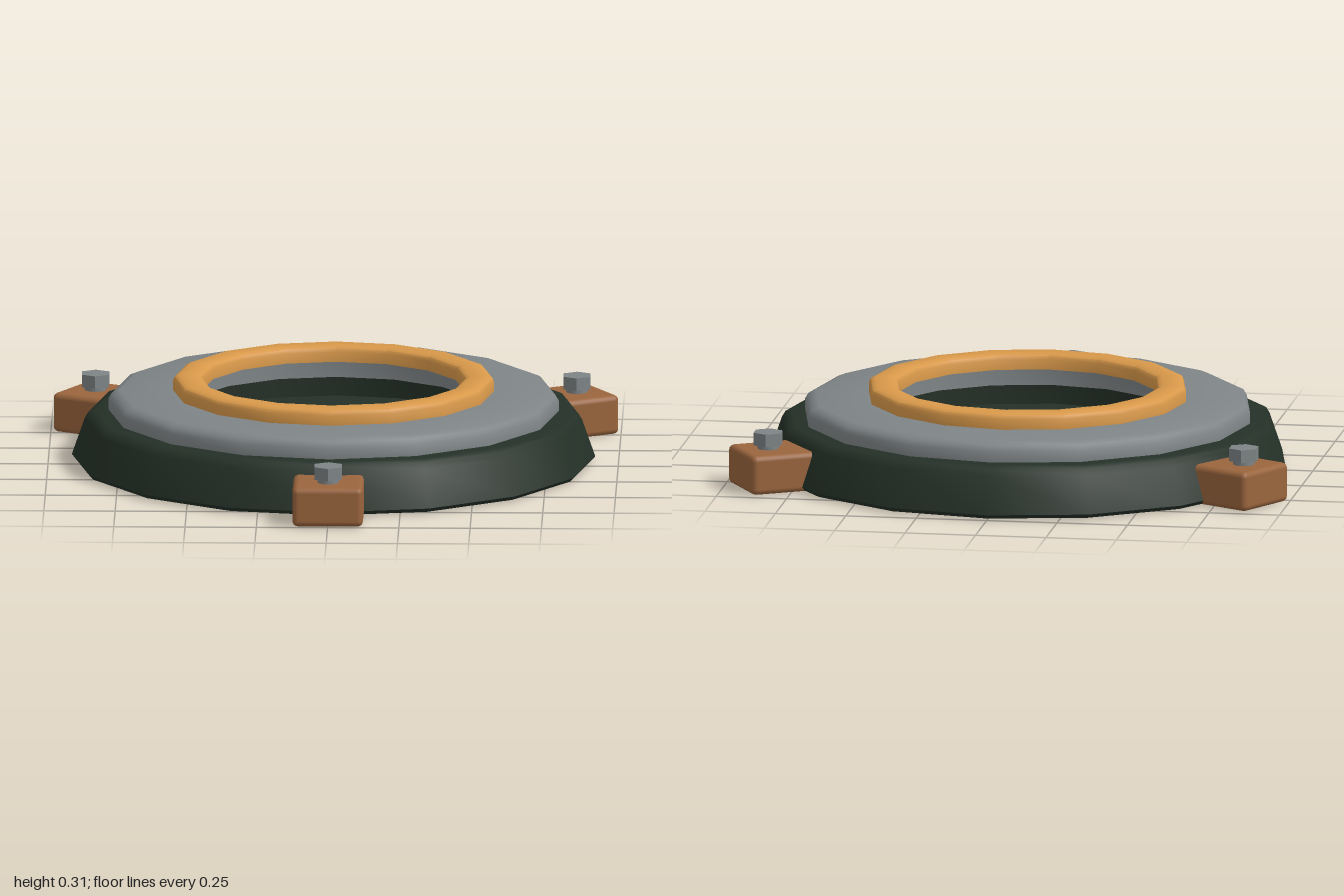
import * as THREE from 'three';
import { toCreasedNormals } from 'three/addons/utils/BufferGeometryUtils.js';
import { RoundedBoxGeometry } from 'three/addons/geometries/RoundedBoxGeometry.js';

const SIDES = 16;
const CENTRE_Z = -0.08;

export function createModel() {
  const flat = (name, color) => {
    const m = new THREE.MeshStandardMaterial({ color });
    m.name = name;
    return m;
  };
  const darkGreen = flat('dark green', 0x243027);
  const grey = flat('steel grey', 0x7f8587);
  const gold = flat('gold', 0xd9994a);
  const brown = flat('copper brown', 0x9a653d);

  const model = new THREE.Group();
  model.name = 'hatch';
  const body = new THREE.Group();
  body.name = 'body';
  body.position.z = CENTRE_Z;
  model.add(body);

  const add = (parent, name, geometry, material, x = 0, y = 0, z = 0) => {
    const mesh = new THREE.Mesh(geometry, material);
    mesh.name = name;
    mesh.position.set(x, y, z);
    parent.add(mesh);
    return mesh;
  };

  // Sixteen-sided ring from a closed profile of [radius, height] points
  const ring = (name, profile, material) => {
    const points = [...profile, profile[0]].map(([r, y]) => new THREE.Vector2(r, y));
    const geometry = toCreasedNormals(new THREE.LatheGeometry(points, SIDES), 0.75);
    add(body, name, geometry, material);
  };

  // Sloped base ring
  ring('baseRing', [
    [0.59, 0.004], [0.905, 0.004], [0.918, 0.018], [0.872, 0.15],
    [0.86, 0.17], [0.835, 0.18], [0.59, 0.18],
  ], darkGreen);

  // Floor plate closing the base
  add(body, 'floorPlate', new THREE.CylinderGeometry(0.592, 0.592, 0.09, SIDES), darkGreen, 0, 0.055, 0);

  // Flange on top of the base
  ring('flange', [
    [0.53, 0.18], [0.79, 0.18], [0.79, 0.218], [0.778, 0.238], [0.75, 0.25], [0.53, 0.25],
  ], grey);

  // Raised rim around the opening
  ring('rim', [
    [0.46, 0.25], [0.563, 0.25], [0.563, 0.285], [0.557, 0.298], [0.54, 0.305],
    [0.483, 0.305], [0.466, 0.298], [0.46, 0.285],
  ], gold);

  // Three mounting lugs, each with a hexagonal bolt
  for (let i = 0; i < 3; i++) {
    const lug = new THREE.Group();
    lug.name = 'mountingLug' + (i + 1);
    lug.rotation.y = (i * Math.PI * 2) / 3;
    body.add(lug);
    add(lug, 'lugBlock', new RoundedBoxGeometry(0.248, 0.14, 0.25, 2, 0.02), brown, 0, 0.07, 0.955);
    add(lug, 'boltShank', new THREE.CylinderGeometry(0.038, 0.038, 0.04, 12), grey, 0, 0.148, 0.975);
    const head = new THREE.CylinderGeometry(0.055, 0.055, 0.045, 6);
    add(lug, 'boltHead', toCreasedNormals(head, 0.5), grey, 0, 0.177, 0.975);
  }

  return model;
}
